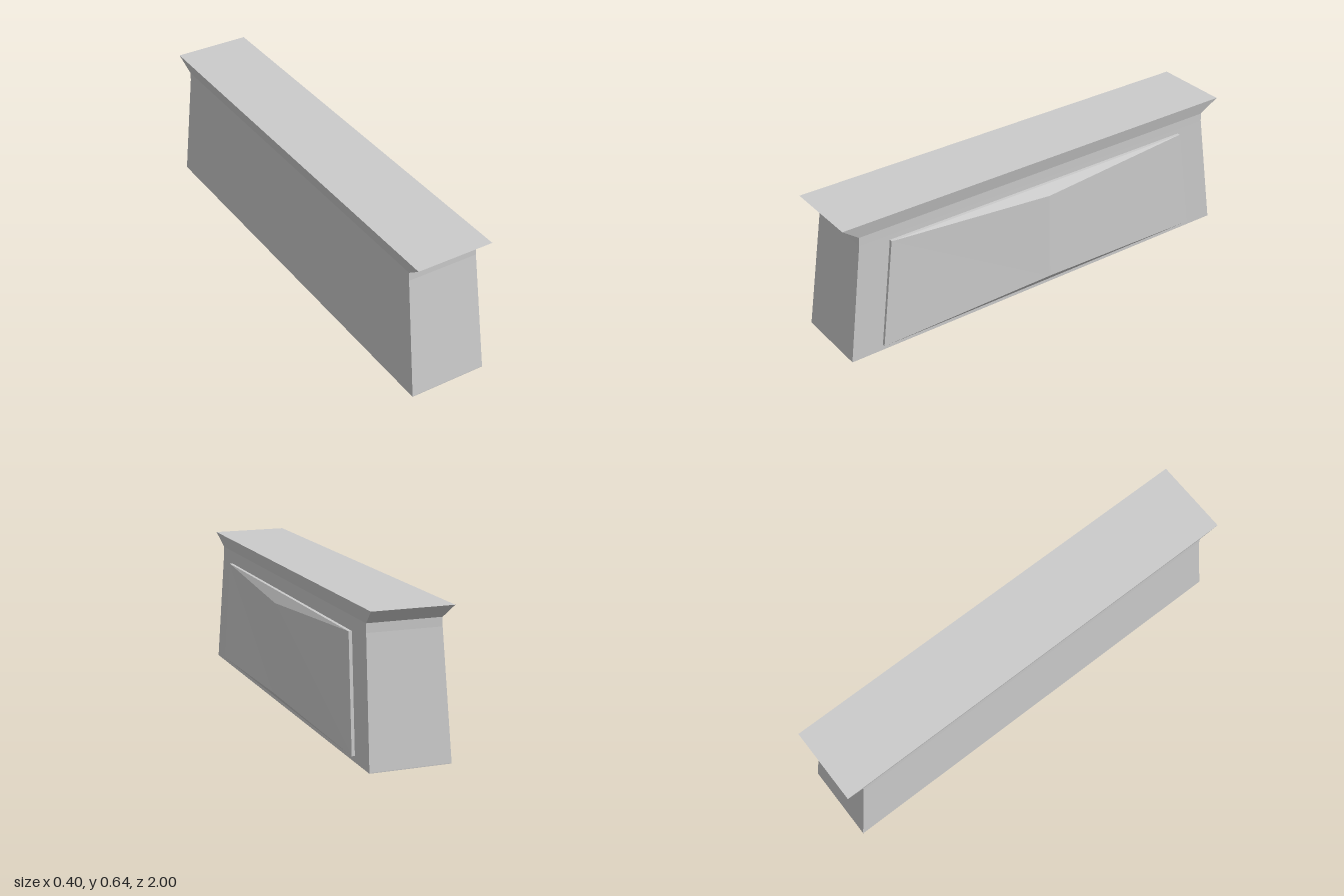
import * as THREE from 'three';

// Skin a list of equal-length loops (each counterclockwise about the loft direction) and cap both ends.
function loft(name, loops) {
  const pos = [];
  const tri = (...pts) => pts.forEach((p) => pos.push(...p));
  const n = loops[0].length;
  for (let s = 0; s < loops.length - 1; s++) {
    for (let i = 0; i < n; i++) {
      const j = (i + 1) % n;
      const a = loops[s][i], b = loops[s][j], c = loops[s + 1][j], d = loops[s + 1][i];
      tri(a, b, c);
      tri(a, c, d);
    }
  }
  const first = loops[0], last = loops[loops.length - 1];
  for (let i = 1; i < n - 1; i++) {
    tri(first[0], first[i + 1], first[i]);
    tri(last[0], last[i], last[i + 1]);
  }
  const geometry = new THREE.BufferGeometry();
  geometry.setAttribute('position', new THREE.Float32BufferAttribute(pos, 3));
  geometry.computeVertexNormals();
  const mesh = new THREE.Mesh(geometry, new THREE.MeshStandardMaterial({ color: 0xcccccc, flatShading: true }));
  mesh.name = name;
  return mesh;
}

// Horizontal rectangle of the barrier body
const rect = (y, x0, x1, z) => [[x1, y, z], [x1, y, -z], [x0, y, -z], [x0, y, z]];

// Panel cross-section: back, rim and front edges, at a fraction of the length
function panelSection(side, isRidge) {
  const zBottom = side * 0.85, zTop = side * 0.78;
  const zMid = side * 0.003;
  const zb = isRidge ? zMid : zBottom;
  const zt = isRidge ? zMid : zTop;
  return [
    [0.148, 0.026, zb],
    [0.165, 0.026, zb],
    isRidge ? [0.198, 0.066, zMid] : [0.165, 0.026, zb],
    isRidge ? [0.188, 0.477, zMid] : [0.153, 0.517, zt],
    [0.153, 0.517, zt],
    [0.137, 0.517, zt],
  ];
}

export function createModel() {
  const model = new THREE.Group();
  model.name = 'barrier';

  // Tapered wall with a thin foot, straight neck and flared top
  model.add(loft('wallBody', [
    rect(0, -0.2, 0.152, 1),
    rect(0.003, -0.2, 0.152, 1),
    rect(0.54, -0.186, 0.138, 0.922),
    rect(0.578, -0.186, 0.138, 0.92),
    rect(0.641, -0.2, 0.152, 1),
  ]));

  // Shallow wedge panel, rising to a narrow vertical ridge at mid-length
  model.add(loft('sidePanel', [
    panelSection(-1, false),
    panelSection(-1, true),
    panelSection(1, true),
    panelSection(1, false),
  ]));

  return model;
}
